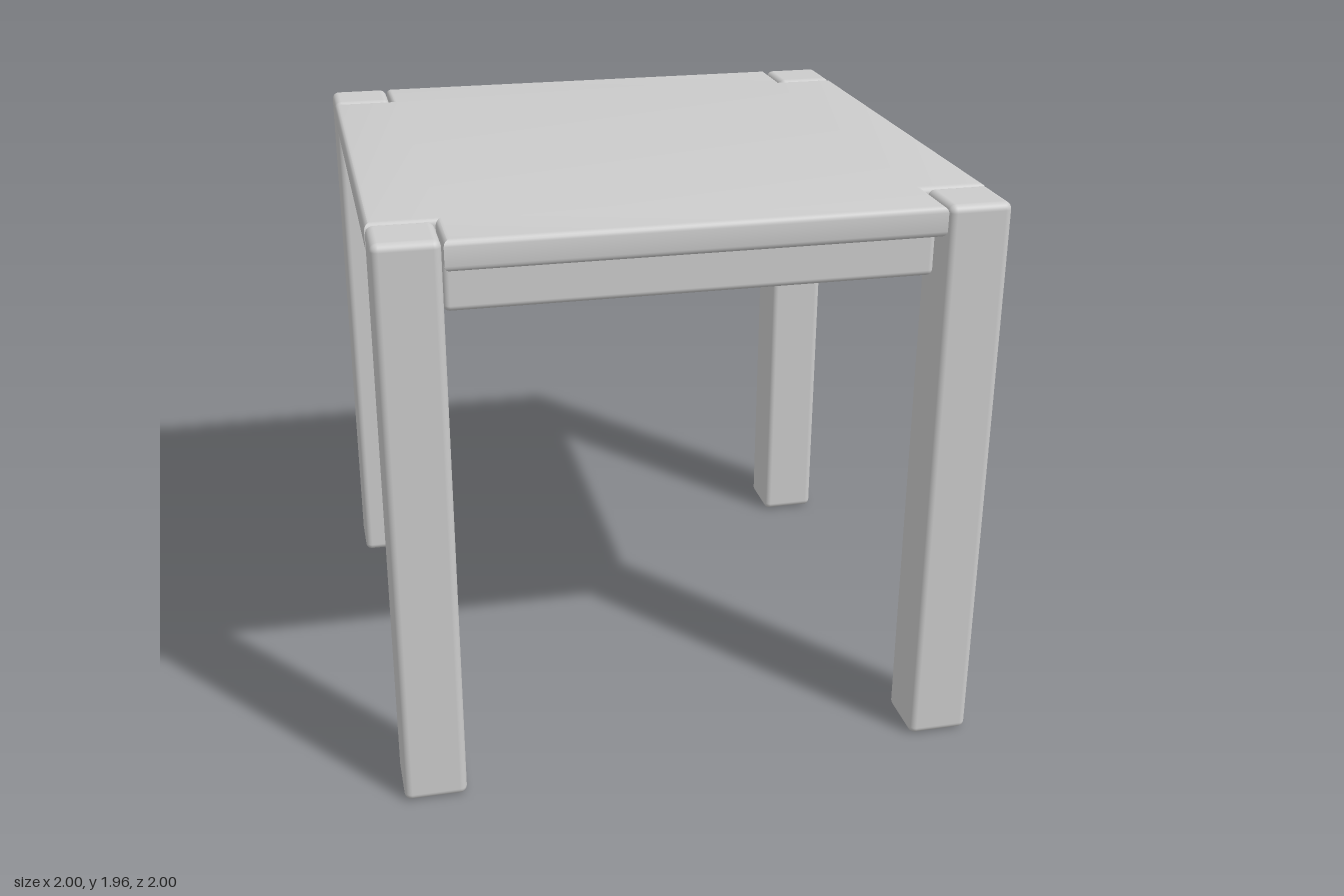
import * as THREE from 'three';
import { RoundedBoxGeometry } from 'three/addons/geometries/RoundedBoxGeometry.js';
import { mergeGeometries, toCreasedNormals } from 'three/addons/utils/BufferGeometryUtils.js';

const TOP = 1.955, SLAB_BOTTOM = 1.855, CEILING = 1.94;
const LEG = 0.21, SPAN = 0.785;

// Square outline with notched corners: outer half size o, notch half size n
const outline = (o, n) => [
  [o, -n], [o, n], [n, n], [n, o], [-n, o], [-n, n],
  [-o, n], [-o, -n], [-n, -n], [-n, -o], [n, -o], [n, -n],
];

// Flat cap over an outline, facing up or down
function cap(points, y, up) {
  const g = new THREE.ShapeGeometry(new THREE.Shape(points.map(([x, z]) => new THREE.Vector2(x, z))));
  g.rotateX(up ? -Math.PI / 2 : Math.PI / 2).translate(0, y, 0);
  g.deleteAttribute('uv');
  g.deleteAttribute('normal');
  return g.toNonIndexed();
}

// Table top: rounded rim, hollow underneath
function slabGeometry() {
  const r = 0.02, steps = 4, rings = [];
  const add = (o, n, y) => rings.push({ pts: outline(o, n), y });
  for (let i = 0; i <= steps; i++) {
    const a = (i / steps) * Math.PI / 2, d = r * (1 - Math.sin(a));
    add(1 - d, SPAN - d, TOP - r + r * Math.cos(a));
  }
  for (let i = 0; i <= steps; i++) {
    const a = (i / steps) * Math.PI / 2, d = r * (1 - Math.cos(a));
    add(1 - d, SPAN - d, SLAB_BOTTOM + r - r * Math.sin(a));
  }
  add(0.82, SPAN - r - 0.005, SLAB_BOTTOM);
  add(0.82, SPAN - r - 0.005, CEILING);

  const pos = [];
  const put = (ring, j) => {
    const [x, z] = ring.pts[j % 12];
    pos.push(x, ring.y, -z);
  };
  for (let i = 0; i < rings.length - 1; i++) {
    const a = rings[i], b = rings[i + 1];
    for (let j = 0; j < 12; j++) {
      put(a, j); put(b, j); put(a, j + 1);
      put(a, j + 1); put(b, j); put(b, j + 1);
    }
  }
  const walls = new THREE.BufferGeometry();
  walls.setAttribute('position', new THREE.Float32BufferAttribute(pos, 3));
  const merged = mergeGeometries([
    walls,
    cap(rings[0].pts, TOP, true),
    cap(rings[rings.length - 1].pts, CEILING, false),
  ]);
  return toCreasedNormals(merged, 0.6);
}

export function createModel() {
  const group = new THREE.Group();
  const material = new THREE.MeshStandardMaterial({ color: 0xcccccc });
  const add = (name, geometry, x, y, z) => {
    const mesh = new THREE.Mesh(geometry, material);
    mesh.name = name;
    mesh.position.set(x, y, z);
    group.add(mesh);
    return mesh;
  };

  add('tableTop', slabGeometry(), 0, 0, 0);

  // Legs in the four notches
  const legGeometry = new RoundedBoxGeometry(LEG, TOP, LEG, 4, 0.025);
  const c = 1 - LEG / 2;
  for (const [side, x] of [['Left', c], ['Right', -c]]) {
    add('front' + side + 'Leg', legGeometry, x, TOP / 2, c);
    add('back' + side + 'Leg', legGeometry, x, TOP / 2, -c);
  }

  // Apron rails, set back under the rim
  const railGeometry = new RoundedBoxGeometry(SPAN * 2, 0.19, 0.095, 4, 0.02);
  ['front', 'left', 'back', 'right'].forEach((side, i) => {
    const a = (i * Math.PI) / 2, d = 0.8675;
    const rail = add(side + 'Apron', railGeometry, Math.sin(a) * d, 1.795, Math.cos(a) * d);
    rail.rotation.y = a;
  });

  return group;
}
